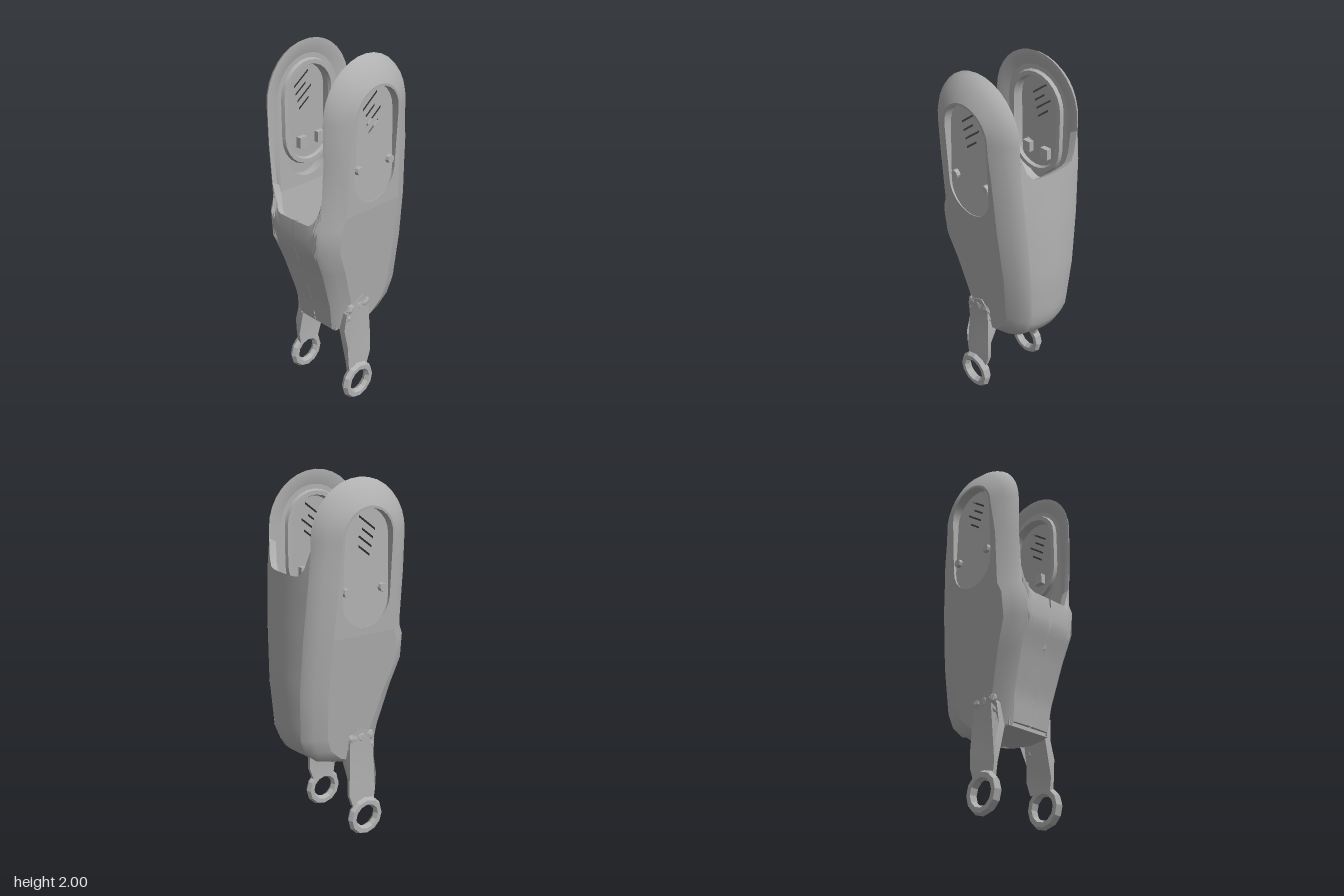
import * as THREE from 'three';
import { toCreasedNormals } from 'three/addons/utils/BufferGeometryUtils.js';

const V2 = (x, y) => new THREE.Vector2(x, y);
const grey = new THREE.MeshStandardMaterial({ color: 0xb0b0b0, side: THREE.DoubleSide });
grey.name = 'metal grey';

// Shell rules: outer face, inner lining and edge depth at a height; the faces fold at KNEE
const KNEE = 1.2;
const zOut = (y) => 0.264 + (y - KNEE) * (y > KNEE ? 0.053 : 0.114);
const zLining = (y) => Math.min(0.214, zOut(y) - 0.05);
const zIn = (y) => Math.min(0.2, 0.125 + 0.075 * (y - 0.5));
const CX = -0.02, CY = 1.71, R = 0.29;
const rightEdge = [[0.1, 0.455], [0.2, 0.485], [0.27, 0.55], [0.3, 0.63], [0.315, 0.9], [0.305, 1.2], [0.285, 1.5], [0.27, 1.65]];
const leftEdge = [[-0.18, 0.46], [-0.205, 0.62], [-0.275, 0.85], [-0.333, 1.0], [-0.333, 1.14], [-0.308, 1.2], [-0.308, 1.5]];

function edgeX(edge, y) {
  for (let i = 1; i < edge.length; i++) {
    const [x0, y0] = edge[i - 1], [x1, y1] = edge[i];
    if (y <= y1) return x0 + (x1 - x0) * Math.max(0, (y - y0) / (y1 - y0));
  }
  return edge[edge.length - 1][0];
}

// Side plate outline, moved inward by d
function outline(d) {
  const pts = rightEdge.map(([x, y]) => V2(x - d, y));
  for (let i = 0; i <= 16; i++) {
    const a = (i / 16) * Math.PI;
    pts.push(V2(CX + (R - d) * Math.cos(a), CY + (R - d) * Math.sin(a)));
  }
  [...leftEdge].reverse().forEach(([x, y]) => pts.push(V2(x + Math.min(d, 0.1), y)));
  return pts;
}

// Capsule-shaped window outline
function capsule(r, y0, y1) {
  const pts = [];
  for (let i = 0; i <= 12; i++) pts.push(V2(CX + r * Math.cos(i * Math.PI / 12), y1 + r * Math.sin(i * Math.PI / 12)));
  for (let i = 0; i <= 12; i++) pts.push(V2(CX - r * Math.cos(i * Math.PI / 12), y0 - r * Math.sin(i * Math.PI / 12)));
  return pts;
}

const lift = (pts, f) => pts.map((p) => new THREE.Vector3(p.x, p.y, f(p.y)));

// Surface through rows of points
function grid(rows) {
  const n = rows[0].length, idx = [];
  for (let r = 0; r < rows.length - 1; r++) {
    for (let c = 0; c < n; c++) {
      const a = r * n + c, b = r * n + (c + 1) % n;
      idx.push(a, b, b + n, a, b + n, a + n);
    }
  }
  const g = new THREE.BufferGeometry().setFromPoints(rows.flat());
  g.setIndex(idx);
  return g;
}

// Flat face with holes, set at a depth rule
function face(pts, holes, f) {
  const s = new THREE.Shape(pts);
  s.holes = holes.map((h) => new THREE.Path(h));
  const g = new THREE.ShapeGeometry(s), p = g.attributes.position;
  for (let i = 0; i < p.count; i++) p.setZ(i, f(p.getY(i)));
  return g;
}

function add(group, name, g, side = 1, crease = 0.5) {
  if (side < 0) g.scale(1, 1, -1);
  const m = new THREE.Mesh(toCreasedNormals(g, crease), grey);
  m.name = name;
  group.add(m);
}

function box(group, name, x0, x1, y0, y1, z0, z1, side = 1) {
  const g = new THREE.BoxGeometry(x1 - x0, y1 - y0, z1 - z0);
  add(group, name, g.translate((x0 + x1) / 2, (y0 + y1) / 2, (z0 + z1) / 2), side);
}

// Front or back plate with bevelled rim, lining and recessed window
function sidePlate(side) {
  const g = new THREE.Group();
  g.name = side > 0 ? 'frontPlate' : 'backPlate';
  const win = capsule(0.148, 1.39, 1.71);
  const recess = (y) => zOut(y) - 0.004 - 0.05 * (y - 1.24) / 0.62;
  const mid = (k) => (y) => zIn(y) + (zOut(y) - zIn(y)) * k;
  const upper = (pts) => pts.filter((p) => p.y >= KNEE), lower = (pts) => pts.filter((p) => p.y <= KNEE);
  add(g, 'bevel', grid([
    lift(outline(0), zIn), lift(outline(0.012), mid(0.22)), lift(outline(0.055), mid(0.66)), lift(outline(0.13), zOut),
  ]), side, 0.8);
  add(g, 'outerFaceUpper', face(upper(outline(0.13)), [win], zOut), side);
  add(g, 'outerFaceLower', face(lower(outline(0.13)), [], zOut), side);
  add(g, 'innerRim', grid([
    lift(outline(0), zIn), lift(outline(0.03), zIn), lift(outline(0.08), zLining),
  ]), side);
  add(g, 'liningUpper', face(upper(outline(0.08)), [win], zLining), side);
  add(g, 'liningLower', face(lower(outline(0.08)), [], zLining), side);
  add(g, 'windowEdge', grid([lift(win, zOut), lift(win, recess), lift(win, zLining)]), side, 0.3);
  // Raised frame and small catches on the inside of the window
  const frame = capsule(0.185, 1.5, 1.71);
  add(g, 'innerFrame', grid([
    lift(frame, zLining), lift(capsule(0.178, 1.5, 1.71), () => 0.195), lift(capsule(0.155, 1.5, 1.71), () => 0.195),
    lift(capsule(0.148, 1.5, 1.71), zLining),
  ]), side, 0.3);
  for (const x of [-0.1, 0.03]) box(g, 'innerCatch', x, x + 0.05, 1.42, 1.48, 0.19, 0.22, side);
  // Diagonal slots in the window panel
  const slots = [];
  for (let i = 0; i < 4; i++) {
    const x = -0.085 + i * 0.012, y = 1.735 - i * 0.042, w = 0.1 - (i % 2) * 0.03;
    slots.push([V2(x, y), V2(x + w, y + w * 0.75), V2(x + w, y + w * 0.75 + 0.012), V2(x, y + 0.012)]);
  }
  add(g, 'windowPanel', face(win, slots, recess), side);
  for (const x of [-0.125, 0.1]) {
    const s = new THREE.CylinderGeometry(0.022, 0.026, 0.03, 8).rotateX(Math.PI / 2);
    add(g, 'screw', s.translate(x, 1.44, recess(1.44) + 0.006), side);
  }
  return g;
}

// Narrow wall joining the plates; t runs across its width
function endWall(name, edge, dir, top, bow, t0, t1) {
  const cols = [], n = 12, rows = 16, foot = 0.475;
  for (let c = 0; c <= n; c++) {
    const t = t0 + (t1 - t0) * c / n, k = Math.abs(t);
    const yTop = top + 0.14 * Math.max(0, (k - 0.55) / 0.45) ** 2.5;
    const at = (y, inset) => new THREE.Vector3(
      edgeX(edge, y) + dir * (bow * (1 - k * k) - inset), y, t * (zIn(y) - inset * 0.1));
    const col = [];
    for (let r = 0; r <= rows; r++) col.push(at(foot + (yTop - foot) * r / rows, 0));
    for (let r = rows; r >= 0; r--) col.push(at(foot + (yTop - 0.02 - foot) * r / rows, 0.04));
    cols.push(col);
  }
  const g = new THREE.Group();
  g.name = name;
  add(g, name + 'Panel', grid(cols), 1, 0.6);
  return g;
}

// Strap with an eye ring at its foot
function strap(side) {
  const g = new THREE.Group();
  g.name = side > 0 ? 'frontStrap' : 'backStrap';
  const s = new THREE.Shape([
    [-0.13, 0.19], [-0.14, 0.26], [-0.145, 0.36], [-0.145, 0.46], [-0.14, 0.57], [-0.1, 0.62], [-0.02, 0.655],
    [0.025, 0.6], [0.04, 0.46], [0.035, 0.36], [0.035, 0.26], [0.01, 0.19],
  ].map(([x, y]) => V2(x, y)));
  const geo = new THREE.ExtrudeGeometry(s, { depth: 1, bevelEnabled: false }), p = geo.attributes.position;
  for (let i = 0; i < p.count; i++) {
    const y = p.getY(i), k = Math.min(1, Math.max(0, (y - 0.36) / 0.1));
    const outer = y < 0.45 ? 0.213 : zOut(y) + 0.006;
    p.setZ(i, p.getZ(i) > 0.5 ? outer : 0.19 - 0.045 * k);
  }
  add(g, 'strapBand', geo, side);
  const ring = new THREE.TorusGeometry(0.088, 0.026, 6, 12).translate(-0.07, 0.114, 0.215);
  add(g, 'eyeRing', ring, side, 0.3);
  // Faceted knuckle where the strap meets the shell
  for (let i = 0; i < 12; i++) {
    const x = -0.105 + (i % 3) * 0.055, y = 0.42 + Math.floor(i / 3) * 0.058;
    const lump = new THREE.IcosahedronGeometry(0.036, 0).rotateZ(i * 1.3).scale(1, 1, 0.4);
    add(g, 'knuckleFacet', lump.translate(x, y, Math.max(0.19, zOut(y))), side, 0.1);
  }
  return g;
}

export function createModel() {
  const model = new THREE.Group();
  model.name = 'limbCasing';
  for (const side of [1, -1]) model.add(sidePlate(side), strap(side));
  model.add(endWall('leftWall', rightEdge, 1, 1.52, 0.03, -1, 1));
  // Right wall is split down the middle
  for (const side of [1, -1]) model.add(endWall('rightWall', leftEdge, -1, 1.15, 0.006, side * 0.025, side));
  // Floor, stepped core, ledge and brackets
  const inside = new THREE.Group();
  inside.name = 'innerParts';
  box(inside, 'floor', -0.17, 0.09, 0.455, 0.49, -0.14, 0.14);
  box(inside, 'coreBlock', -0.12, 0.05, 0.49, 0.8, -0.14, 0.14);
  box(inside, 'coreArm', 0.05, 0.14, 0.72, 0.8, -0.14, -0.06);
  box(inside, 'sideBlock', -0.28, -0.11, 0.88, 0.98, -0.15, 0.02);
  box(inside, 'lowerBlock', -0.19, -0.1, 0.6, 0.9, -0.12, 0.02);
  box(inside, 'ledge', -0.18, 0.05, 0.86, 0.9, 0.135, 0.19);
  box(inside, 'frontBracket', 0.04, 0.16, 0.6, 0.72, 0.05, 0.11);
  box(inside, 'backBracket', 0.14, 0.21, 0.84, 0.92, -0.18, -0.09);
  box(inside, 'smallBracket', -0.22, -0.11, 0.72, 0.8, 0.04, 0.09);
  model.add(inside);
  return model;
}
